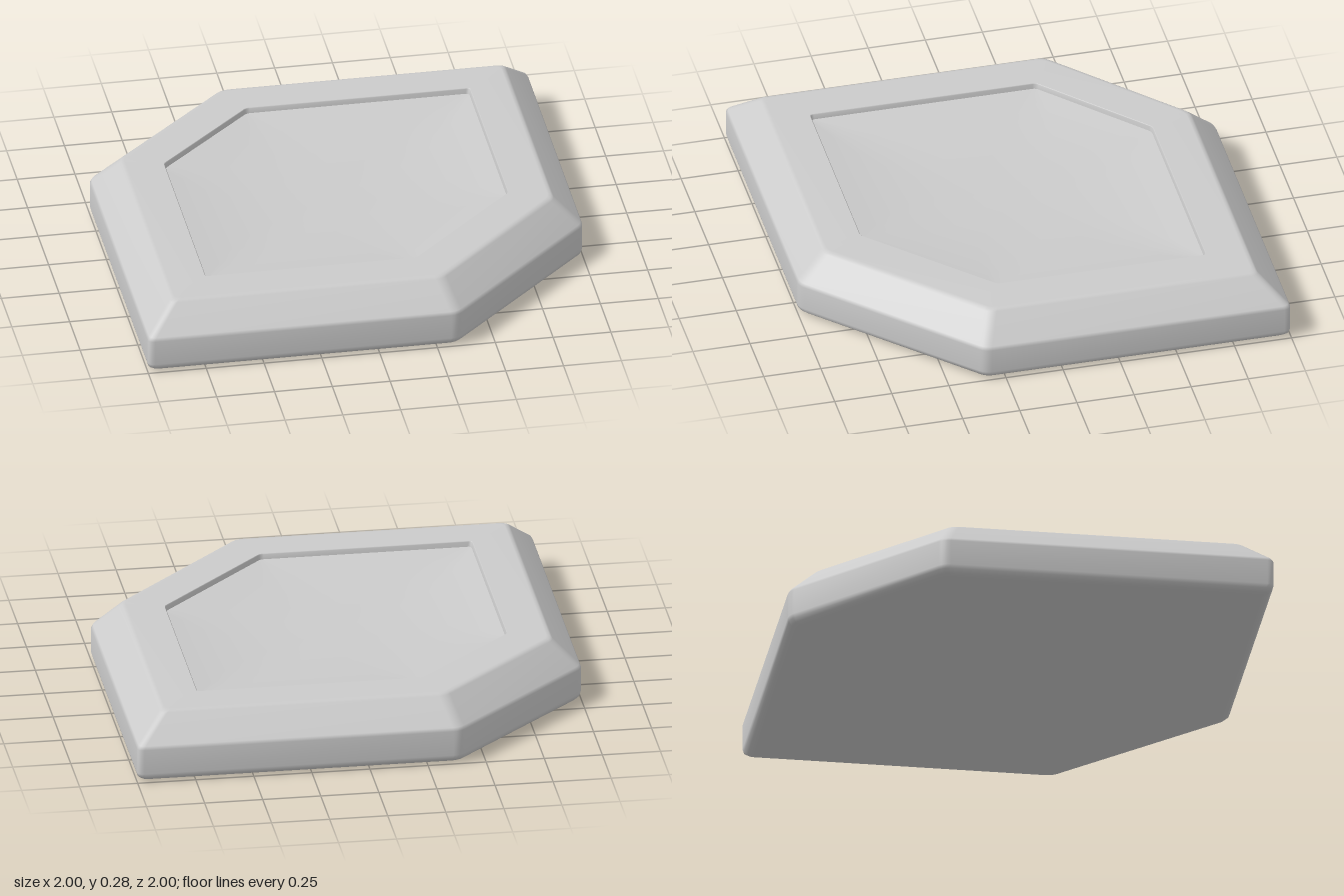
import * as THREE from 'three';

// Six-sided outline (x, z), clockwise seen from above
const OUTLINE = [[-0.39, -1], [1, -1], [1, 0.34], [0.34, 1], [-1, 1], [-1, -0.42]]
  .map(([x, z]) => new THREE.Vector2(x, z));
const ARC = 4; // steps per rounded corner

// Outline moved inwards by a distance, with mitred then rounded corners
function ring(inset, y, round) {
  const n = OUTLINE.length;
  const normal = i => {
    const d = OUTLINE[(i + 1) % n].clone().sub(OUTLINE[i % n]).normalize();
    return new THREE.Vector2(-d.y, d.x);
  };
  const corners = OUTLINE.map((p, i) => {
    const a = normal(i + n - 1), b = normal(i);
    return p.clone().addScaledVector(a.clone().add(b), inset / (1 + a.dot(b)));
  });
  const points = [];
  corners.forEach((p, i) => {
    const toward = q => p.clone().add(q.clone().sub(p).setLength(round));
    const curve = new THREE.QuadraticBezierCurve(
      toward(corners[(i + n - 1) % n]), p, toward(corners[(i + 1) % n]));
    curve.getPoints(ARC).forEach(q => points.push(new THREE.Vector3(q.x, y, q.y)));
  });
  return points;
}

// Skin over rings running from the underside outwards, or from a rim inwards;
// optional caps close the first and last ring
function skin(rings, bottomY, topY) {
  const m = rings[0].length, index = [];
  const points = rings.flat();
  for (let i = 0; i < rings.length - 1; i++) {
    for (let j = 0; j < m; j++) {
      const k = (j + 1) % m;
      const a = i * m + j, b = i * m + k, c = a + m, d = b + m;
      index.push(a, c, b, b, c, d);
    }
  }
  const last = (rings.length - 1) * m;
  if (bottomY !== undefined) {
    const center = points.push(new THREE.Vector3(0, bottomY, 0)) - 1;
    for (let j = 0; j < m; j++) index.push(center, j, (j + 1) % m);
  }
  if (topY !== undefined) {
    const center = points.push(new THREE.Vector3(0, topY, 0)) - 1;
    for (let j = 0; j < m; j++) index.push(last + j, center, last + (j + 1) % m);
  }
  const geometry = new THREE.BufferGeometry().setFromPoints(points);
  geometry.setIndex(index);
  geometry.computeVertexNormals();
  return geometry;
}

export function createModel() {
  const group = new THREE.Group();
  group.name = 'facetedDish';
  const material = new THREE.MeshStandardMaterial({ color: 0xcccccc });
  const add = (name, geometry) => {
    const mesh = new THREE.Mesh(geometry, material);
    mesh.name = name;
    group.add(mesh);
  };
  const rings = profile => profile.map(([inset, y, round]) => ring(inset, y, round));

  // Underside, rounded foot, upright side, sloping bevel and flat rim
  add('frame', skin(rings([
    [0.05, 0, 0.03], [0.02, 0.008, 0.03], [0.005, 0.022, 0.03], [0, 0.04, 0.03],
    [0, 0.15, 0.03], [0.008, 0.165, 0.03], [0.115, 0.268, 0.03], [0.125, 0.275, 0.03],
    [0.14, 0.278, 0.03], [0.3, 0.278, 0.015],
  ]), 0));

  // Narrow step just inside the rim
  add('lip', skin(rings([
    [0.3, 0.278, 0.015], [0.303, 0.275, 0.015], [0.306, 0.254, 0.015],
  ])));

  // Shallow hollow, gently dished towards the middle
  add('basin', skin(rings([
    [0.306, 0.254, 0.015], [0.37, 0.245, 0.06], [0.45, 0.236, 0.12],
    [0.54, 0.228, 0.14], [0.65, 0.221, 0.13], [0.8, 0.216, 0.08],
  ]), undefined, 0.215));

  return group;
}
